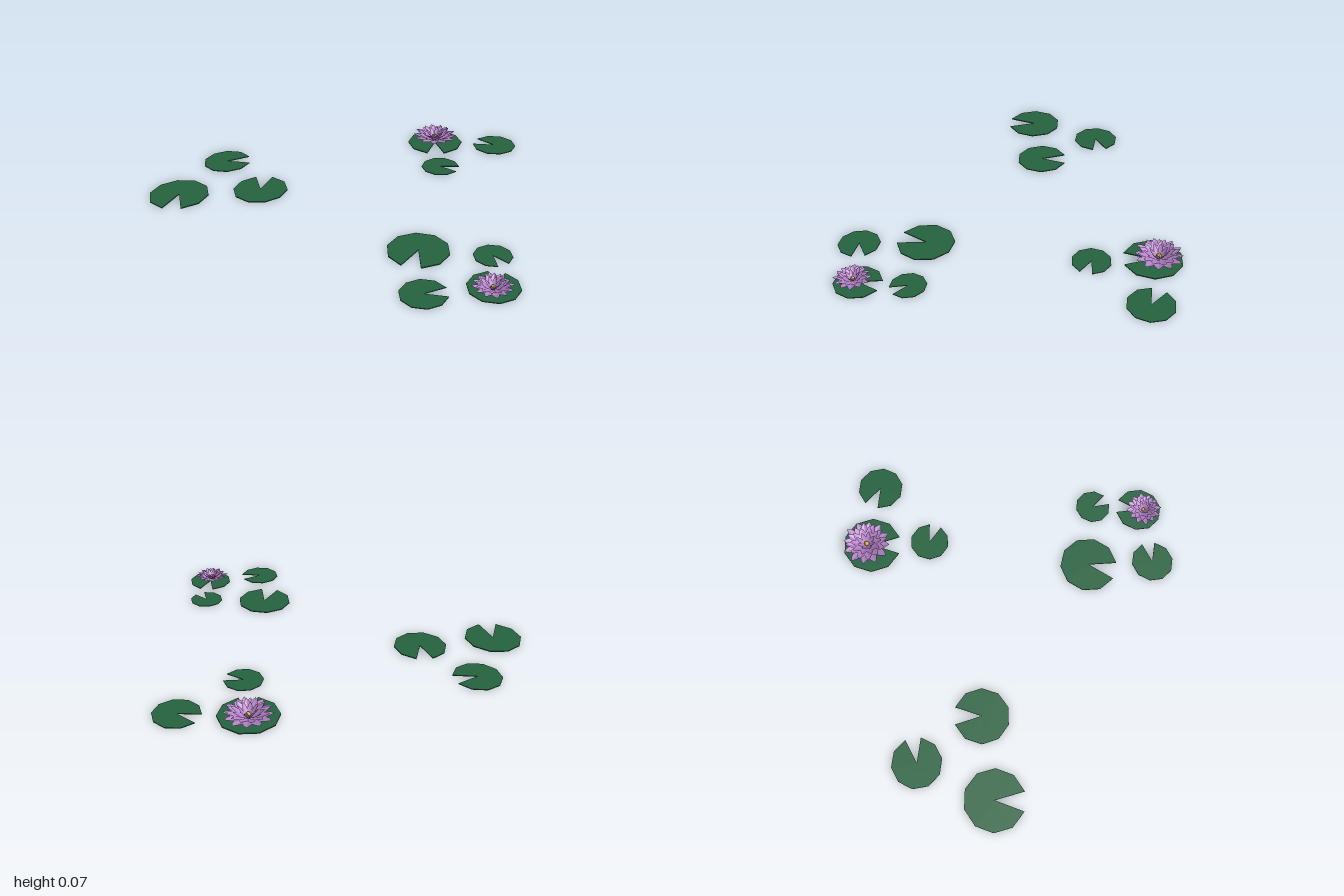
import * as THREE from 'three';

const RAD = Math.PI / 180;
const makeMaterial = (color) => new THREE.MeshStandardMaterial({ color, flatShading: true, side: THREE.DoubleSide });
const padMaterial = makeMaterial(0x24623f);
const petalMaterial = makeMaterial(0xb583c9);
const centreMaterial = makeMaterial(0xd0ae3c);

// Ten-sided leaf with one wedge left out; start is the angle (degrees, x towards z) where the rim begins
function createPad(x, z, radius, start) {
  const shape = new THREE.Shape().moveTo(0, 0);
  for (let i = 0; i <= 9; i++) {
    const a = (start + i * 36) * RAD;
    shape.lineTo(radius * Math.cos(a), radius * Math.sin(a));
  }
  shape.closePath();
  const depth = radius * 0.035;
  const geometry = new THREE.ExtrudeGeometry(shape, { depth, bevelEnabled: false });
  geometry.rotateX(Math.PI / 2).translate(0, depth, 0);
  const pad = new THREE.Mesh(geometry, padMaterial);
  pad.name = 'lilyPad';
  pad.position.set(x, 0, z);
  return pad;
}

// Pointed, cupped petal running along +x and curling up to the tip
function petalGeometry(reach, rise, width) {
  const stations = [[0, 0.25], [0.3, 0.75], [0.6, 1], [0.82, 0.65], [1, 0]];
  const positions = [];
  const index = [];
  stations.forEach(([t, w], i) => {
    const x = 0.008 + (reach - 0.008) * t;
    const y = rise * Math.pow(t, 1.25);
    const half = width * w / 2;
    positions.push(x, y + half * 0.3, half, x, y, 0, x, y + half * 0.3, -half);
    if (i === 0) return;
    const b = i * 3, a = b - 3;
    for (const k of [0, 1]) index.push(a + k, b + k, a + k + 1, b + k, b + k + 1, a + k + 1);
  });
  const geometry = new THREE.BufferGeometry();
  geometry.setAttribute('position', new THREE.Float32BufferAttribute(positions, 3));
  geometry.setIndex(index);
  geometry.computeVertexNormals();
  return geometry;
}

// Rings of petals, outermost first: count, reach, rise, width, turn
const rings = [
  [12, 0.128, 0.033, 0.046, 0],
  [12, 0.108, 0.046, 0.040, 15],
  [10, 0.084, 0.056, 0.034, 5],
  [8, 0.052, 0.056, 0.024, 20],
].map(([count, reach, rise, width, turn]) => ({ count, turn, geometry: petalGeometry(reach, rise, width) }));

function createFlower(x, z, scale, turnAll) {
  const flower = new THREE.Group();
  flower.name = 'waterLily';
  rings.forEach(({ count, turn, geometry }, level) => {
    for (let i = 0; i < count; i++) {
      const petal = new THREE.Mesh(geometry, petalMaterial);
      petal.name = 'petal';
      petal.rotation.y = (turn + i * 360 / count) * RAD;
      petal.position.y = level * 0.002;
      const size = 1 - 0.06 * ((i * 2 + level) % 3) / 2;
      petal.scale.set(size, size, 1);
      flower.add(petal);
    }
  });
  // Small yellow heart
  const centre = new THREE.Mesh(new THREE.SphereGeometry(0.014, 8, 6), centreMaterial);
  centre.name = 'flowerCentre';
  centre.position.y = 0.02;
  flower.add(centre);
  flower.position.set(x, 0.005, z);
  flower.rotation.y = turnAll * RAD;
  flower.scale.setScalar(scale);
  return flower;
}

export function createModel() {
  const group = new THREE.Group();
  group.name = 'lilyPond';
  // Pads: x, z, radius, rim start angle
  const pads = [
    [-0.10, -0.57, 0.15, 73], [0.19, -0.735, 0.118, 187], [0.09, -0.335, 0.1, 0],
    [-0.877, 0.295, 0.124, -27], [-0.51, 0.42, 0.138, -107], [-0.805, 0.70, 0.15, 75],
    [0.463, 0.417, 0.146, 87], [0.757, 0.257, 0.09, 45], [0.882, 0.465, 0.118, -96],
    [0.67, 0.68, 0.107, -25],
  ];
  for (const pad of pads) group.add(createPad(...pad));
  group.add(createFlower(-0.115, -0.592, 1, 90));
  group.add(createFlower(0.89, 0.488, 0.74, 40));
  return group;
}
